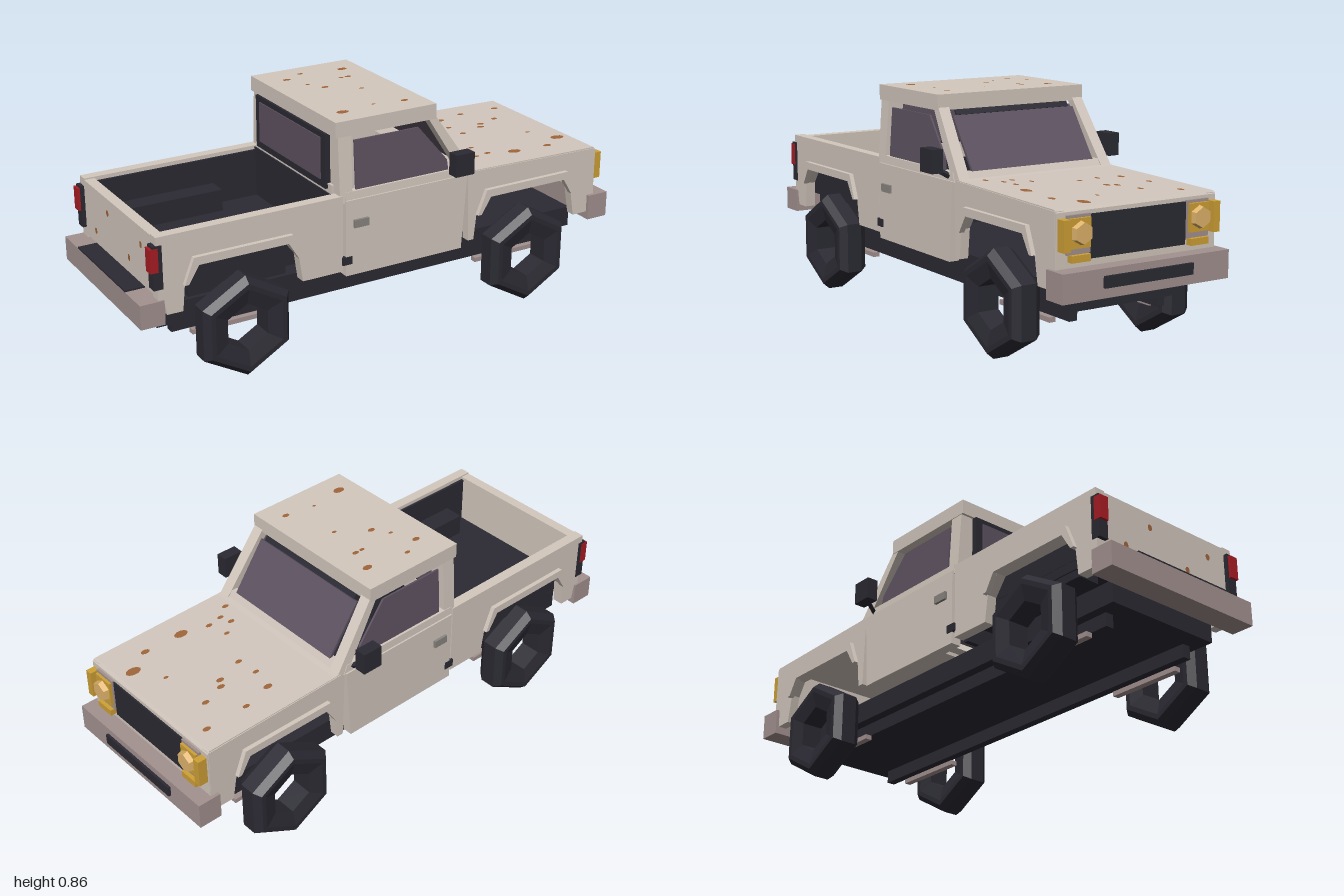
import * as THREE from 'three';

const mat = (color) => new THREE.MeshStandardMaterial({ color, flatShading: true, side: THREE.DoubleSide });

export function createModel() {
  const truck = new THREE.Group();
  truck.name = 'pickupTruck';
  const cream = mat(0xd3c8be), dark = mat(0x2b2a33), glass = mat(0x5d5260), pink = mat(0xa39290);
  const gold = mat(0xcfa136), lamp = mat(0xdfb36b), red = mat(0xa81c24), rust = mat(0xa0653a), grey = mat(0x8a8580);

  const add = (name, geo, material, parent = truck) => {
    const m = new THREE.Mesh(geo, material);
    m.name = name;
    parent.add(m);
    return m;
  };
  // box given by its limits on each axis
  const box = (name, material, x0, x1, y0, y1, z0, z1) => {
    const g = new THREE.BoxGeometry(x1 - x0, y1 - y0, z1 - z0);
    g.translate((x0 + x1) / 2, (y0 + y1) / 2, (z0 + z1) / 2);
    return add(name, g, material);
  };
  const boxPair = (name, material, x0, x1, y0, y1, z0, z1) => {
    box(name + 'Left', material, x0, x1, y0, y1, z0, z1);
    box(name + 'Right', material, x0, x1, y0, y1, -z1, -z0);
  };
  // side profile in x and y, extruded from z0 to z1
  const slab = (name, material, pts, z0, z1) => {
    const shape = new THREE.Shape(pts.map(([x, y]) => new THREE.Vector2(x, y)));
    const g = new THREE.ExtrudeGeometry(shape, { depth: z1 - z0, bevelEnabled: false });
    g.translate(0, 0, z0);
    return add(name, g, material);
  };
  const slabPair = (name, material, pts, z0, z1) => {
    slab(name + 'Left', material, pts, z0, z1);
    slab(name + 'Right', material, pts, -z1, -z0);
  };

  // Chassis
  box('chassisSlab', dark, -0.9, 0.89, 0.21, 0.29, -0.24, 0.24);
  boxPair('chassisRail', dark, -0.83, 0.83, 0.16, 0.21, 0.17, 0.203);

  // Wheels: six-sided rings with an open centre
  const tyre = [[0.09, -0.042], [0.15, -0.057], [0.17, -0.057], [0.193, -0.03], [0.193, 0.03],
    [0.17, 0.057], [0.15, 0.057], [0.09, 0.042], [0.09, -0.042]].map(([r, h]) => new THREE.Vector2(r, h));
  for (const [end, x] of [['front', 0.6], ['rear', -0.61]]) {
    for (const s of [1, -1]) {
      const wheel = add(end + 'Wheel' + (s > 0 ? 'Left' : 'Right'),
        new THREE.LatheGeometry(tyre, 6).rotateX(Math.PI / 2), dark);
      wheel.position.set(x, 0.193, s * 0.321);
    }
    boxPair(end + 'LeafSpring', pink, x - 0.15, x + 0.15, 0.142, 0.16, 0.2, 0.226);
  }

  // Bumpers
  box('frontBumper', pink, 0.9, 0.99, 0.27, 0.37, -0.348, 0.348);
  box('frontBumperInset', dark, 0.985, 1.0, 0.305, 0.345, -0.185, 0.185);
  box('rearBumper', pink, -1.0, -0.91, 0.27, 0.36, -0.342, 0.342);
  box('rearBumperStep', dark, -1.0, -0.925, 0.35, 0.366, -0.215, 0.215);

  // Front fenders, doors and bed sides
  slabPair('frontFender', cream, [[0.335, 0.3], [0.36, 0.3], [0.372, 0.41], [0.41, 0.465], [0.78, 0.465],
    [0.815, 0.41], [0.835, 0.3], [0.9, 0.3], [0.91, 0.37], [0.93, 0.37], [0.925, 0.56], [0.34, 0.575], [0.325, 0.565]], 0.3, 0.335);
  slabPair('door', cream, [[-0.2, 0.28], [0.3, 0.28], [0.32, 0.57], [-0.2, 0.57]], 0.3, 0.34);
  slabPair('bedSide', cream, [[-0.91, 0.36], [-0.9, 0.3], [-0.84, 0.3], [-0.83, 0.4], [-0.78, 0.465],
    [-0.44, 0.465], [-0.39, 0.4], [-0.375, 0.3], [-0.21, 0.3], [-0.21, 0.59], [-0.93, 0.59], [-0.93, 0.36]], 0.294, 0.335);

  // Wheel arch lips
  for (const [name, x] of [['frontArch', 0.595], ['rearArch', -0.61]]) {
    slabPair(name, cream, [[-0.228, 0.4], [-0.19, 0.495], [0.19, 0.495], [0.228, 0.4], [0.212, 0.4],
      [0.172, 0.465], [-0.172, 0.465], [-0.212, 0.4]].map(([u, y]) => [x + u, y]), 0.33, 0.352);
  }
  boxPair('doorHandle', grey, -0.17, -0.11, 0.465, 0.495, 0.338, 0.35);
  boxPair('doorLatch', dark, -0.215, -0.175, 0.325, 0.355, 0.325, 0.343);

  // Load bed with dark lining
  box('bedFloor', dark, -0.9, -0.22, 0.355, 0.39, -0.295, 0.295);
  boxPair('bedLining', dark, -0.895, -0.22, 0.39, 0.575, 0.284, 0.296);
  boxPair('bedWheelBox', dark, -0.8, -0.42, 0.325, 0.475, 0.205, 0.29);
  box('bedFrontWall', dark, -0.235, -0.215, 0.29, 0.585, -0.295, 0.295);
  box('tailgate', cream, -0.93, -0.89, 0.37, 0.585, -0.295, 0.295);

  // Hood, cowl and nose
  slab('hood', cream, [[0.335, 0.55], [0.335, 0.58], [0.37, 0.577], [0.92, 0.565], [0.93, 0.55]], -0.332, 0.332);
  box('nose', cream, 0.9, 0.93, 0.37, 0.555, -0.333, 0.333);
  box('grille', dark, 0.92, 0.936, 0.394, 0.541, -0.2, 0.2);
  slab('cowl', cream, [[0.29, 0.565], [0.355, 0.565], [0.335, 0.602], [0.31, 0.602]], -0.29, 0.29);

  // Headlights and indicators
  boxPair('headlightFrame', pink, 0.92, 0.94, 0.415, 0.545, 0.202, 0.296);
  boxPair('headlightPlate', gold, 0.935, 0.95, 0.436, 0.535, 0.207, 0.29);
  boxPair('lowerIndicator', gold, 0.925, 0.955, 0.391, 0.415, 0.21, 0.286);
  boxPair('sideIndicator', gold, 0.92, 0.965, 0.43, 0.536, 0.299, 0.326);
  for (const s of [1, -1]) {
    const bulb = add('headlight' + (s > 0 ? 'Left' : 'Right'),
      new THREE.CylinderGeometry(0.036, 0.042, 0.025, 6).rotateZ(-Math.PI / 2), lamp);
    bulb.rotation.x = Math.PI / 2;
    bulb.position.set(0.957, 0.487, s * 0.248);
  }

  // Tail lights
  boxPair('tailLightFrame', dark, -0.945, -0.91, 0.4, 0.56, 0.298, 0.338);
  boxPair('tailLight', red, -0.955, -0.925, 0.465, 0.552, 0.303, 0.34);

  // Cab: roof, pillars, glass
  box('roof', cream, -0.23, 0.19, 0.805, 0.862, -0.318, 0.318);
  // pillars and side glass lean inward towards the roof
  const lean = (names) => names.forEach((n) => ['Left', 'Right'].forEach((side) => {
    const p = truck.getObjectByName(n + side).geometry.attributes.position;
    for (let i = 0; i < p.count; i++) {
      p.setZ(i, p.getZ(i) - Math.sign(p.getZ(i)) * 0.07 * (p.getY(i) - 0.57));
    }
  }));
  slabPair('frontPillar', cream, [[0.31, 0.565], [0.355, 0.575], [0.19, 0.815], [0.155, 0.815]], 0.288, 0.332);
  slabPair('rearPillar', cream, [[-0.22, 0.56], [-0.17, 0.56], [-0.165, 0.815], [-0.22, 0.815]], 0.27, 0.332);
  slabPair('sideGlass', glass, [[-0.15, 0.565], [0.25, 0.565], [0.24, 0.64], [0.12, 0.782], [-0.15, 0.782]], 0.318, 0.325);
  slabPair('doorSill', cream, [[-0.2, 0.56], [0.33, 0.56], [0.31, 0.6], [-0.2, 0.6]], 0.308, 0.334);
  lean(['frontPillar', 'rearPillar', 'sideGlass', 'doorSill']);
  slab('windshield', glass, [[0.322, 0.598], [0.332, 0.602], [0.204, 0.786], [0.194, 0.782]], -0.263, 0.263);
  slab('windshieldTopFrame', dark, [[0.194, 0.782], [0.2, 0.786], [0.186, 0.808], [0.178, 0.808]], -0.245, 0.245);
  box('cabBackLower', cream, -0.23, -0.205, 0.56, 0.62, -0.29, 0.29);
  box('rearWindowFrame', dark, -0.24, -0.21, 0.6, 0.805, -0.262, 0.262);
  box('rearGlass', glass, -0.244, -0.206, 0.628, 0.785, -0.23, 0.23);

  // Mirrors
  boxPair('mirror', dark, 0.22, 0.3, 0.6, 0.685, 0.365, 0.41);
  for (const s of [1, -1]) {
    const path = new THREE.LineCurve3(new THREE.Vector3(0.285, 0.583, s * 0.325), new THREE.Vector3(0.265, 0.612, s * 0.375));
    add('mirrorArm' + (s > 0 ? 'Left' : 'Right'), new THREE.TubeGeometry(path, 1, 0.011, 4), dark);
  }

  // Rust spots: flat ovals as [x, z, radius]
  const spot = (name, r, stretch) => add(name, new THREE.CircleGeometry(r, 10).rotateX(-Math.PI / 2).scale(1, 1, stretch), rust);
  const roofSpots = [[-0.06, -0.24, 0.012], [-0.14, -0.2, 0.016], [0.11, -0.215, 0.02], [0.08, -0.12, 0.014], [0.05, -0.12, 0.011],
    [-0.06, -0.05, 0.015], [-0.1, -0.11, 0.009], [0.05, 0.03, 0.01], [-0.15, 0.23, 0.024], [0.11, 0.23, 0.015], [-0.01, 0.21, 0.008]];
  const hoodSpots = [[0.57, -0.21, 0.018], [0.69, -0.24, 0.014], [0.86, -0.24, 0.016], [0.56, -0.035, 0.014], [0.67, -0.07, 0.016],
    [0.78, -0.13, 0.015], [0.615, 0.23, 0.028], [0.865, 0.175, 0.03], [0.45, 0.21, 0.013], [0.77, 0.235, 0.018], [0.51, 0.2, 0.014],
    [0.395, 0.25, 0.014], [0.435, 0.165, 0.014], [0.55, -0.12, 0.013], [0.49, 0.12, 0.012], [0.69, -0.1, 0.016], [0.8, 0.07, 0.01]];
  roofSpots.forEach(([x, z, r]) => spot('roofRust', r, 0.65).position.set(x, 0.8635, z));
  hoodSpots.forEach(([x, z, r]) => {
    const m = spot('hoodRust', r, 0.65);
    m.position.set(x, 0.5785 - (x - 0.37) * 0.0218, z);
    m.rotation.z = -0.0218;
  });
  for (const [y, z] of [[0.42, -0.2], [0.53, -0.08], [0.43, 0.1], [0.52, 0.21]]) {
    const m = spot('tailgateRust', 0.013, 0.8);
    m.rotation.z = Math.PI / 2;
    m.position.set(-0.9315, y, z);
  }

  return truck;
}
